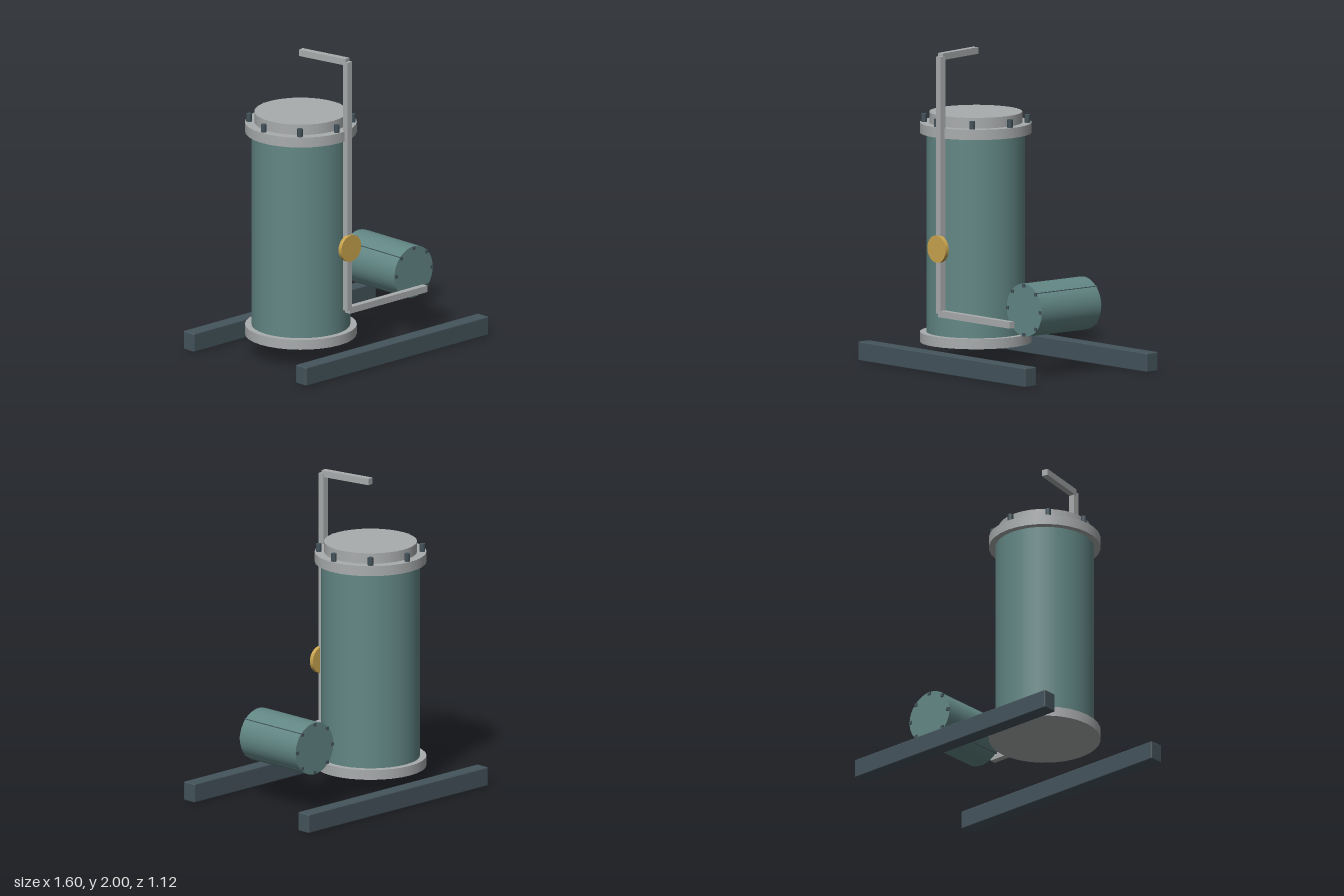
import * as THREE from 'three';
import { RoundedBoxGeometry } from 'three/addons/geometries/RoundedBoxGeometry.js';

const material = (name, color) => {
  const m = new THREE.MeshStandardMaterial({ color });
  m.name = name;
  return m;
};

export function createModel() {
  const model = new THREE.Group();
  model.name = 'pressureVesselSkid';
  const teal = material('tealPaint', 0x628785);
  const steel = material('paleSteel', 0xa9acad);
  const dark = material('darkSteel', 0x44535b);
  const brass = material('brass', 0xc9a44e);

  const add = (parent, name, geometry, mat, x, y, z) => {
    const mesh = new THREE.Mesh(geometry, mat);
    mesh.name = name;
    mesh.position.set(x, y, z);
    parent.add(mesh);
    return mesh;
  };

  // Two skid rails
  for (const side of [1, -1]) {
    add(model, side > 0 ? 'frontRail' : 'backRail',
      new RoundedBoxGeometry(1.6, 0.123, 0.097, 2, 0.008), dark, 0, 0.0615, side * 0.51);
  }

  // Upright vessel: stacked discs on one axis
  const vessel = new THREE.Group();
  vessel.name = 'vessel';
  vessel.position.x = -0.308;
  model.add(vessel);
  const disc = (name, radius, y0, y1, mat) => add(vessel, name,
    new THREE.CylinderGeometry(radius, radius, y1 - y0, 32), mat, 0, (y0 + y1) / 2, 0);
  disc('baseFlange', 0.353, 0.123, 0.187, steel);
  disc('shell', 0.312, 0.187, 1.456, teal);
  disc('topFlange', 0.353, 1.456, 1.521, steel);
  disc('lid', 0.294, 1.521, 1.589, steel);

  // Ring of lid bolts
  const boltGeometry = new THREE.CylinderGeometry(0.018, 0.018, 0.06, 10);
  for (let i = 0; i < 8; i++) {
    const a = i * Math.PI / 4;
    add(vessel, 'lidBolt', boltGeometry, dark, 0.327 * Math.cos(a), 1.542, 0.327 * Math.sin(a));
  }

  // Horizontal drum with tie rods running its full length
  const drum = new THREE.Group();
  drum.name = 'drum';
  drum.position.set(0.44, 0.426, 0);
  model.add(drum);
  add(drum, 'drumShell', new THREE.CylinderGeometry(0.168, 0.168, 0.498, 32), teal, 0, 0, 0)
    .rotation.x = Math.PI / 2;
  const rodGeometry = new THREE.BoxGeometry(0.021, 0.021, 0.514);
  for (let i = 0; i < 8; i++) {
    const a = i * Math.PI / 4;
    add(drum, 'tieRod', rodGeometry, dark, 0.156 * Math.cos(a), 0.156 * Math.sin(a), 0);
  }

  // Square pipe from the drum up and over the vessel
  const pipe = new THREE.Group();
  pipe.name = 'pipe';
  model.add(pipe);
  const points = [
    [0.44, 0.341, 0.354], [-0.241, 0.341, 0.354], [-0.241, 1.979, 0.354], [-0.308, 1.979, 0],
  ].map((p) => new THREE.Vector3(...p));
  const names = ['lowerPipe', 'riserPipe', 'upperPipe'];
  names.forEach((name, i) => {
    const [a, b] = [points[i], points[i + 1]];
    const mid = a.clone().add(b).multiplyScalar(0.5);
    const geometry = new THREE.BoxGeometry(0.042, 0.042, a.distanceTo(b));
    add(pipe, name, geometry, steel, mid.x, mid.y, mid.z).lookAt(b);
  });

  // Round gauge on the riser
  add(model, 'gauge', new THREE.CylinderGeometry(0.087, 0.087, 0.027, 28), brass, -0.241, 0.755, 0.375)
    .rotation.x = Math.PI / 2;

  return model;
}
